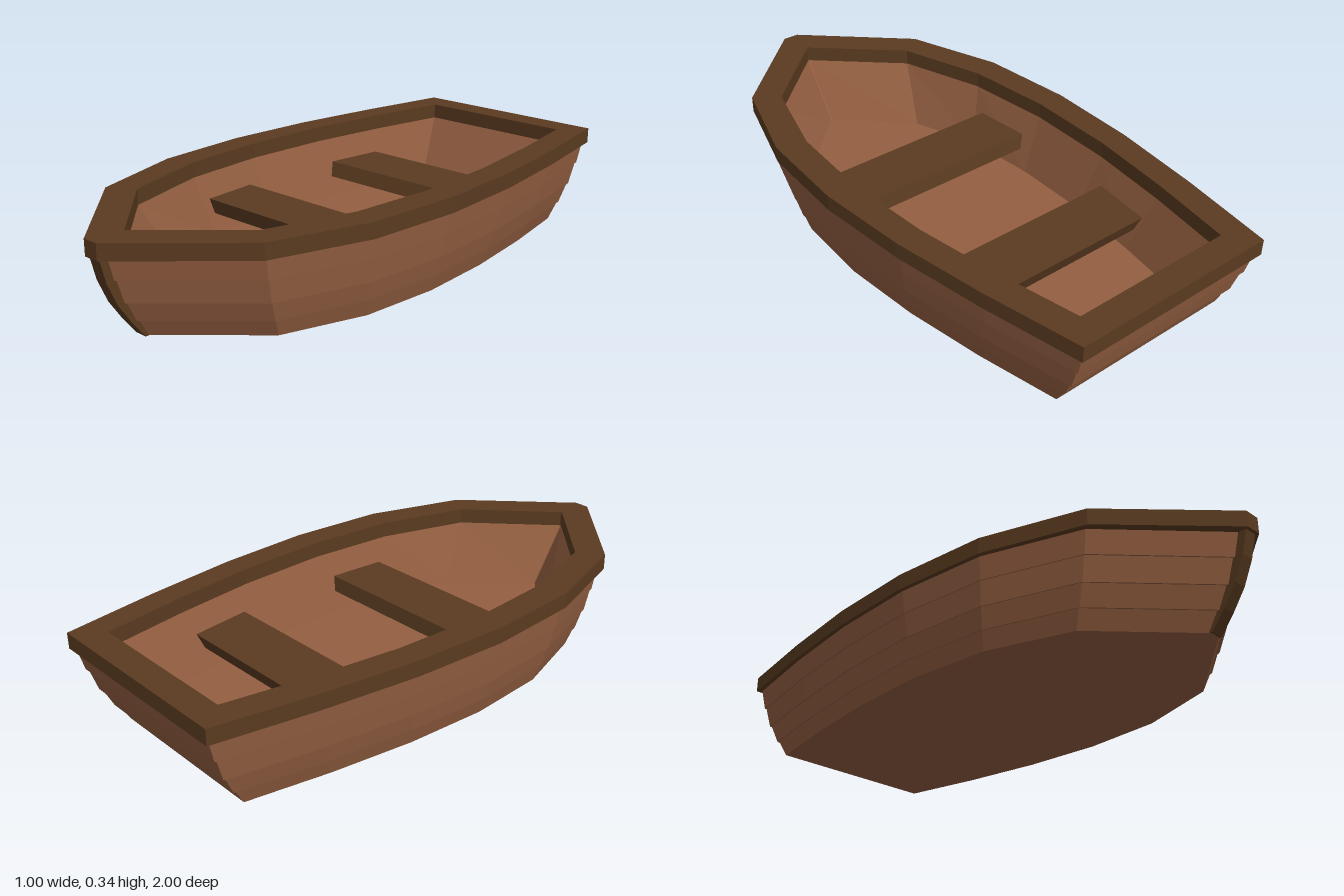
import * as THREE from 'three';

// Half outlines [x, z] on the +x side, from stern to bow
const HULL = [[0.355, -0.985], [0.418, -0.66], [0.465, -0.33], [0.485, 0], [0.46, 0.33], [0.35, 0.66], [0.02, 0.965]];
const RIM = [[0.37, -1], [0.433, -0.66], [0.48, -0.33], [0.5, 0], [0.475, 0.34], [0.365, 0.68], [0.028, 1]];
const INNER = [[0.29, -0.905], [0.345, -0.61], [0.385, -0.32], [0.4, 0], [0.375, 0.31], [0.28, 0.62], [0.002, 0.88]];
const FLOOR = [[0.245, -0.785], [0.288, -0.55], [0.325, -0.29], [0.337, 0], [0.32, 0.27], [0.24, 0.51], [0.002, 0.745]];
const RIM_BOTTOM = 0.283, RIM_TOP = 0.337, FLOOR_Y = 0.08;

// Full closed outline: +x side forward, then mirrored back
const mirrored = (half) => [...half, ...half.map(([x, z]) => [-x, z]).reverse()];
const ring = (half, y, s = 1) => mirrored(half).map(([x, z]) => [x * s, y, z * s]);

function flat(geometry) {
  const g = geometry.index ? geometry.toNonIndexed() : geometry;
  g.computeVertexNormals();
  return g;
}

// Skin between successive rings, with both ends closed by strips across the boat
function loft(rings) {
  const pos = [];
  const tri = (...points) => points.forEach((p) => pos.push(...p));
  const n = rings[0].length;
  for (let r = 0; r < rings.length - 1; r++) {
    for (let i = 0; i < n; i++) {
      const j = (i + 1) % n, lo = rings[r], hi = rings[r + 1];
      tri(lo[i], hi[i], hi[j]);
      tri(lo[i], hi[j], lo[j]);
    }
  }
  const first = rings[0], last = rings[rings.length - 1];
  for (let i = 0; i < n / 2 - 1; i++) {
    const a = i, b = i + 1, c = n - 2 - i, d = n - 1 - i;
    tri(first[a], first[b], first[c]);
    tri(first[a], first[c], first[d]);
    // inner floor faces up
    tri(last[a], last[c], last[b]);
    tri(last[a], last[d], last[c]);
  }
  const g = new THREE.BufferGeometry();
  g.setAttribute('position', new THREE.Float32BufferAttribute(pos, 3));
  return flat(g);
}

// Half width of the inner wall at a given height and station
function innerWidth(y, z) {
  const t = (y - FLOOR_Y) / (RIM_BOTTOM - FLOOR_Y);
  const line = FLOOR.map((p, i) => p.map((v, k) => v + (INNER[i][k] - v) * t));
  let i = 0;
  while (i < line.length - 2 && line[i + 1][1] < z) i++;
  const [x0, z0] = line[i], [x1, z1] = line[i + 1];
  return x0 + (x1 - x0) * (z - z0) / (z1 - z0);
}

// Bench board fitted between the walls, its lower edge shifted along z
function seatGeometry(zBack, zFront, shift) {
  const g = new THREE.BoxGeometry(2, 1, 1);
  const p = g.attributes.position;
  for (let i = 0; i < p.count; i++) {
    const top = p.getY(i) > 0;
    const y = top ? 0.2 : 0.148;
    const z = (p.getZ(i) > 0 ? zFront : zBack) + (top ? 0 : shift);
    p.setXYZ(i, p.getX(i) * (innerWidth(y, z) + 0.003), y, z);
  }
  return flat(g);
}

export function createModel() {
  const boat = new THREE.Group();
  boat.name = 'rowingBoat';
  const hullWood = new THREE.MeshStandardMaterial({ color: 0x945f41 });
  hullWood.name = 'hullWood';
  const trimWood = new THREE.MeshStandardMaterial({ color: 0x5a3b20 });
  trimWood.name = 'trimWood';
  const add = (name, geometry, material) => {
    const mesh = new THREE.Mesh(geometry, material);
    mesh.name = name;
    boat.add(mesh);
    return mesh;
  };

  // Lapped planks outside, then over the edge and down to the floor
  const planks = [[0, 0.868, 0.06, 0.904], [0.06, 0.911, 0.128, 0.943], [0.128, 0.95, 0.207, 0.974], [0.207, 0.981, RIM_BOTTOM, 1]];
  const rings = planks.flatMap(([y0, s0, y1, s1]) => [ring(HULL, y0, s0), ring(HULL, y1, s1)]);
  rings.push(ring(INNER, RIM_BOTTOM), ring(FLOOR, FLOOR_Y));
  add('hull', loft(rings), hullWood);

  // Gunwale around the top
  const shape = new THREE.Shape(mirrored(RIM).map(([x, z]) => new THREE.Vector2(x, z)));
  shape.holes.push(new THREE.Path(mirrored(INNER).map(([x, z]) => new THREE.Vector2(x, z))));
  const rim = new THREE.ExtrudeGeometry(shape, { depth: RIM_TOP - RIM_BOTTOM, bevelEnabled: false });
  rim.rotateX(Math.PI / 2);
  add('gunwale', rim, trimWood).position.y = RIM_TOP;

  // Curved stem post at the bow
  const profile = [[0.846, 0], [0.892, 0.06], [0.937, 0.128], [0.971, 0.207], [0.99, 0.285], [0.93, 0.285], [0.9, 0.207], [0.8, 0]];
  const stem = new THREE.ExtrudeGeometry(
    new THREE.Shape(profile.map(([z, y]) => new THREE.Vector2(z, y))), { depth: 0.046, bevelEnabled: false });
  stem.translate(0, 0, -0.023);
  stem.rotateY(-Math.PI / 2);
  add('stem', stem, trimWood);

  // Benches
  add('frontSeat', seatGeometry(0.055, 0.26, -0.01), trimWood);
  add('rearSeat', seatGeometry(-0.575, -0.36, 0.02), trimWood);
  return boat;
}
